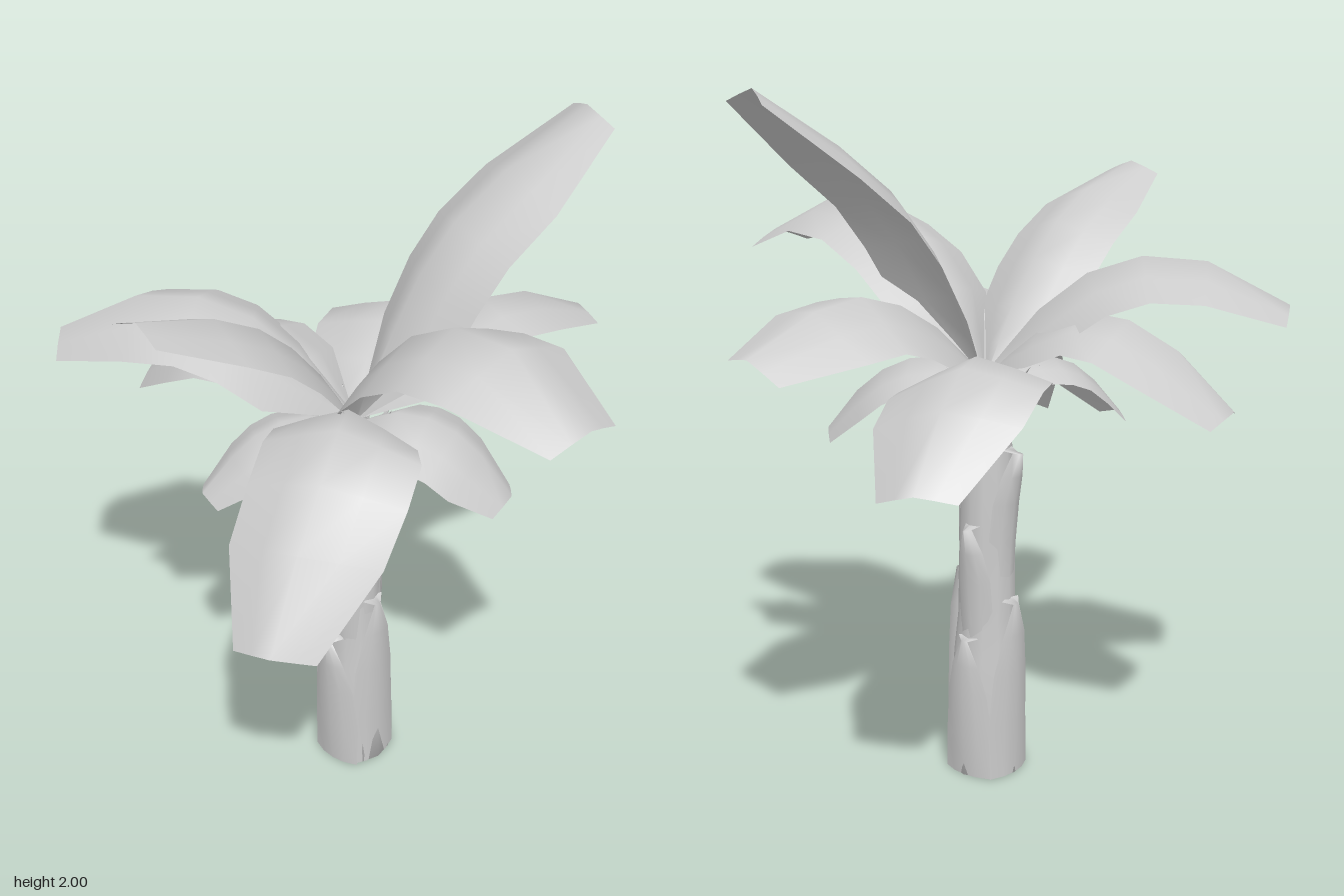
import * as THREE from 'three';

const material = new THREE.MeshStandardMaterial({ color: 0xcccccc, side: THREE.DoubleSide });
const AXIS = new THREE.Vector3(-0.06, 0, 0.038);

// Smooth sheet from rows of equally many points
function sheet(rows) {
  const n = rows[0].length, index = [];
  for (let i = 0; i < rows.length - 1; i++) {
    for (let j = 0; j < n - 1; j++) {
      const a = i * n + j, b = a + n;
      index.push(a, b, a + 1, a + 1, b, b + 1);
    }
  }
  const geometry = new THREE.BufferGeometry().setFromPoints(rows.flat());
  geometry.setIndex(index);
  geometry.computeVertexNormals();
  return geometry;
}

function add(group, name, geometry) {
  const mesh = new THREE.Mesh(geometry, material);
  mesh.name = name;
  group.add(mesh);
  return mesh;
}

// Broad leaf: blunt angular outline along a bent midrib, halves folded down from the rib
function leaf(points, halfWidth, roll = 0) {
  const curve = new THREE.CatmullRomCurve3(points.map((p) => new THREE.Vector3(...p)));
  const run = curve.getPoint(1).sub(curve.getPoint(0));
  const side = new THREE.Vector3(run.z, 0, -run.x).normalize();
  const outline = [[0, 0.06], [0.1, 0.45], [0.23, 0.93], [0.4, 1], [0.56, 1], [0.74, 0.96], [1, 0.52]];
  return sheet(outline.map(([t, w]) => {
    const centre = curve.getPointAt(t);
    const up = curve.getTangentAt(t).cross(side).normalize();
    return [-1, -0.5, 0, 0.5, 1].map((s) => centre.clone()
      .addScaledVector(side, s * w * halfWidth)
      .addScaledVector(up, w * halfWidth * (roll * s - 0.4 * Math.abs(s) ** 1.15)));
  }));
}

// Old leaf base: bulging wedge on the trunk, narrowing to a flared point that closes back inside
function barkScale(angle, bottom, top, radius, spread, flare, edge) {
  const shape = [[0, 0.95, 0], [0.3, 1, 0.006], [0.6, 0.85, 0.008 + flare * 0.2],
    [0.82, 0.55, 0.006 + flare * 0.6], [1, 0.14, flare], [1.02, 0.5, -0.03]];
  return sheet(shape.map(([t, w, out]) => [-1, -0.5, 0, 0.5, 1].map((s) => {
    const a = angle + s * w * spread;
    const r = radius + out * (1 - 0.6 * s * s) + edge * s * s * (1 - t);
    return new THREE.Vector3(AXIS.x + Math.sin(a) * r, bottom + (top - bottom) * t, AXIS.z + Math.cos(a) * r);
  })));
}

export function createModel() {
  const model = new THREE.Group();
  model.name = 'palmTree';

  // Trunk
  const profile = [[0, 0], [0.107, 0], [0.105, 0.2], [0.096, 0.36], [0.084, 0.48], [0.081, 0.7],
    [0.077, 0.85], [0.071, 1], [0.064, 1.1], [0.05, 1.18], [0, 1.22]];
  const trunk = add(model, 'trunk', new THREE.LatheGeometry(profile.map((p) => new THREE.Vector2(...p)), 12));
  trunk.position.copy(AXIS);

  // Bark scales: angle from the front, bottom, top, radius, spread, flare, extra radius at the edges
  const bark = new THREE.Group();
  bark.name = 'barkScales';
  model.add(bark);
  const H = Math.PI / 2;
  [
    [0.1, 0, 0.47, 0.108, 0.8, 0.022, 0.012],
    [H, 0, 0.6, 0.102, 0.85, 0.006, 0.014],
    [2 * H, 0, 0.42, 0.105, 0.8, 0.004, 0.012],
    [-H, 0, 0.53, 0.106, 0.85, 0.005, 0.014],
    [2 * H + 0.1, 0.36, 0.76, 0.084, 0.8, 0.04, -0.01],
    [0.5, 0.45, 0.9, 0.084, 0.8, 0.022, -0.01],
    [H, 0.5, 0.9, 0.08, 0.7, 0.014, -0.01],
    [-H, 0.6, 0.98, 0.082, 0.85, 0.046, -0.01],
  ].forEach((s) => add(bark, 'barkScale', barkScale(...s)));

  // Leaves: midrib points, half width, roll about the rib
  const crown = new THREE.Group();
  crown.name = 'crown';
  model.add(crown);
  const leaves = {
    backUprightLeaf: [[[-0.05, 1.2, 0.02], [-0.02, 1.45, -0.09], [0.02, 1.68, -0.22], [0.08, 1.84, -0.39], [0.17, 2, -0.62]], 0.205],
    frontRaisedLeaf: [[[-0.06, 1.2, 0.04], [-0.06, 1.4, 0.17], [-0.06, 1.57, 0.33], [-0.06, 1.68, 0.52], [-0.07, 1.74, 0.73]], 0.172],
    leftLeaf: [[[-0.05, 1.2, 0.03], [0.07, 1.44, 0.05], [0.24, 1.59, 0.06], [0.42, 1.66, 0.06], [0.56, 1.645, 0.06], [0.79, 1.53, 0.055]], 0.225],
    rightFrontLeaf: [[[-0.06, 1.2, 0.03], [-0.2, 1.41, 0.14], [-0.33, 1.51, 0.23], [-0.47, 1.535, 0.33], [-0.6, 1.5, 0.42], [-0.74, 1.4, 0.52]], 0.23],
    rightLeaf: [[[-0.07, 1.2, 0.03], [-0.22, 1.34, 0.07], [-0.36, 1.4, 0.11], [-0.5, 1.37, 0.14], [-0.63, 1.29, 0.17], [-0.76, 1.16, 0.2]], 0.21],
    backRightLeaf: [[[-0.07, 1.19, 0.02], [-0.21, 1.29, -0.18], [-0.295, 1.33, -0.34], [-0.35, 1.26, -0.5], [-0.39, 1.06, -0.67]], 0.205, 0.12],
    backLeaf: [[[-0.05, 1.2, 0.02], [0.0, 1.36, -0.14], [0.03, 1.455, -0.35], [0.06, 1.44, -0.52], [0.1, 1.34, -0.735]], 0.2, -0.2],
    frontLeftLeaf: [[[-0.04, 1.2, 0.04], [0.08, 1.34, 0.18], [0.17, 1.385, 0.29], [0.245, 1.32, 0.42], [0.3, 1.18, 0.56], [0.345, 0.94, 0.705]], 0.215],
    backLeftLowLeaf: [[[-0.05, 1.18, 0.02], [0.07, 1.24, -0.03], [0.18, 1.21, -0.1], [0.27, 1.13, -0.15], [0.345, 1.02, -0.19]], 0.18],
    frontRightLowLeaf: [[[-0.07, 1.18, 0.05], [-0.12, 1.23, 0.17], [-0.17, 1.2, 0.29], [-0.21, 1.12, 0.38], [-0.24, 1.04, 0.44]], 0.14],
  };
  for (const [name, spec] of Object.entries(leaves)) add(crown, name, leaf(...spec));

  // Short pointed stalks under the leaves
  for (let i = 0; i < 9; i++) {
    const stalk = new THREE.ConeGeometry(0.018, 0.15, 4).translate(0, 0.075, 0);
    stalk.rotateX(0.5 + 0.15 * (i % 3)).translate(0, 1.11, 0.045);
    stalk.rotateY((i / 9) * Math.PI * 2);
    add(crown, 'stalk', stalk).position.copy(AXIS);
  }
  return model;
}
